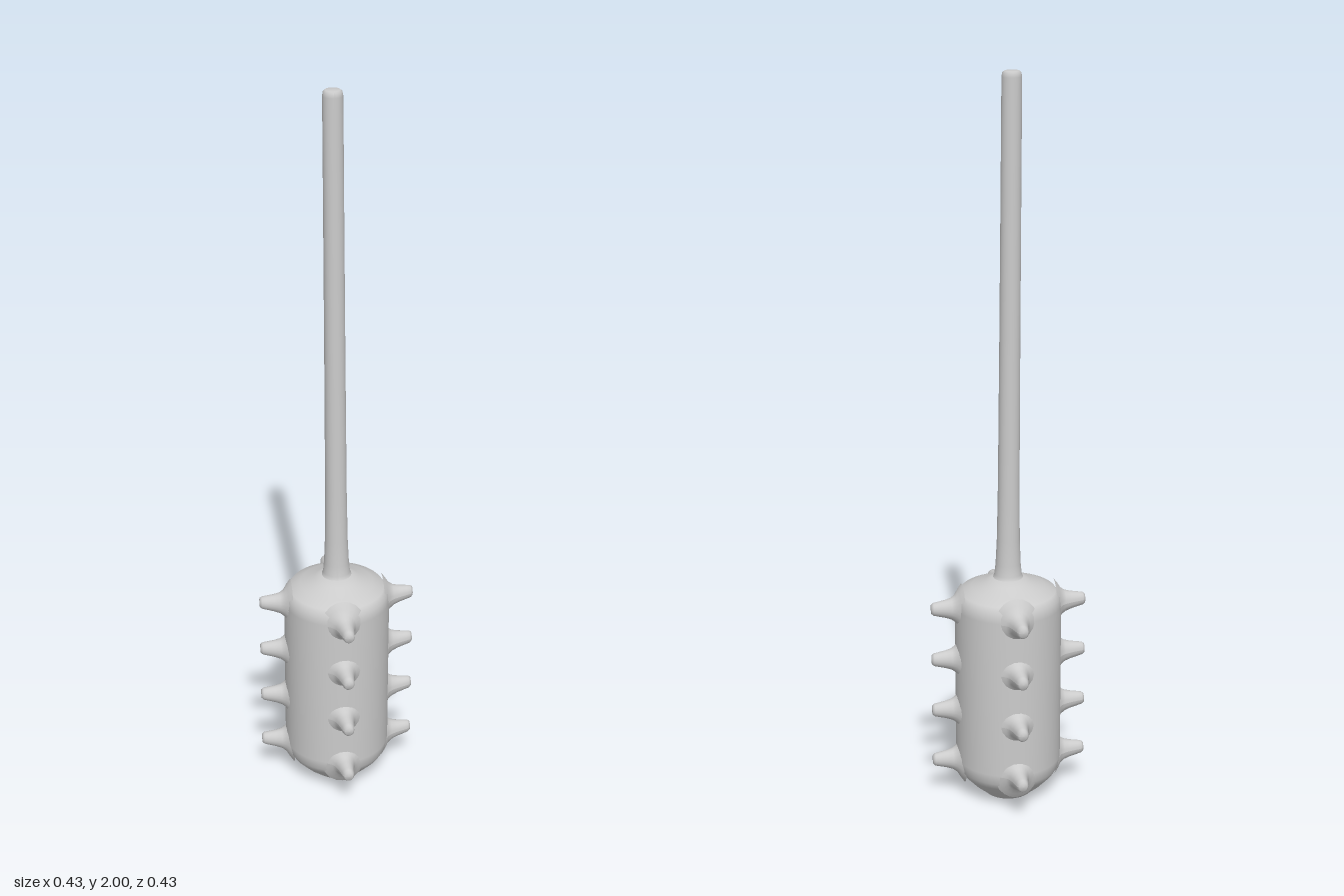
import * as THREE from 'three';

const material = new THREE.MeshStandardMaterial({ color: 0xcccccc });

// Smooth turned part from [radius, height] pairs
function turned(name, profile, segments) {
  const points = profile.map(([r, y]) => new THREE.Vector2(r, y));
  const mesh = new THREE.Mesh(new THREE.LatheGeometry(points, segments), material);
  mesh.name = name;
  return mesh;
}

export function createModel() {
  const model = new THREE.Group();
  model.name = 'spikedClub';

  // Barrel-shaped head with a chamfered foot and a sloped shoulder
  model.add(turned('head', [
    [0, 0], [0.066, 0], [0.073, 0.007], [0.1, 0.03], [0.128, 0.06], [0.14, 0.08], [0.145, 0.11],
    [0.145, 0.56], [0.142, 0.585], [0.13, 0.601], [0.1, 0.614], [0.06, 0.63], [0.036, 0.643], [0, 0.643],
  ], 48));

  // Slender handle, flared where it meets the head
  const handle = turned('handle', [
    [0.055, 0.628], [0.042, 0.637], [0.037, 0.65], [0.034, 0.68], [0.031, 0.75], [0.029, 0.9],
    [0.0275, 1.3], [0.0265, 1.7], [0.026, 1.985], [0.024, 1.996], [0.019, 2], [0, 2],
  ], 32);
  // Gentle lean towards the top
  const p = handle.geometry.attributes.position;
  for (let i = 0; i < p.count; i++) {
    const t = Math.max(0, (p.getY(i) - 0.64) / 1.36);
    p.setX(i, p.getX(i) - 0.009 * t);
    p.setZ(i, p.getZ(i) - 0.004 * t);
  }
  handle.geometry.computeVertexNormals();
  model.add(handle);

  // Four rows of flared spikes on four sides
  const spikeProfile = [
    [0.064, 0.128], [0.05, 0.139], [0.036, 0.148], [0.028, 0.16], [0.023, 0.177],
    [0.0185, 0.2], [0.0165, 0.21], [0.012, 0.216], [0, 0.217],
  ];
  const offsets = [-0.009, -0.003, 0.004, -0.006];
  const spikes = new THREE.Group();
  spikes.name = 'spikes';
  for (let side = 0; side < 4; side++) {
    const column = new THREE.Group();
    column.name = 'spikeColumn';
    column.rotation.y = side * Math.PI / 2;
    for (const y of [0.105, 0.256, 0.407, 0.556]) {
      const spike = turned('spike', spikeProfile, 20);
      spike.rotation.z = -Math.PI / 2;
      spike.scale.set(1.08, 0.985, 0.92);
      // Tips rise a little and drift sideways
      const q = spike.geometry.attributes.position;
      for (let i = 0; i < q.count; i++) {
        const t = (q.getY(i) - 0.128) / 0.089;
        q.setX(i, q.getX(i) - 0.006 * t);
        q.setZ(i, q.getZ(i) + offsets[side] * t);
      }
      spike.geometry.computeVertexNormals();
      spike.position.y = y;
      column.add(spike);
    }
    spikes.add(column);
  }
  model.add(spikes);
  return model;
}
